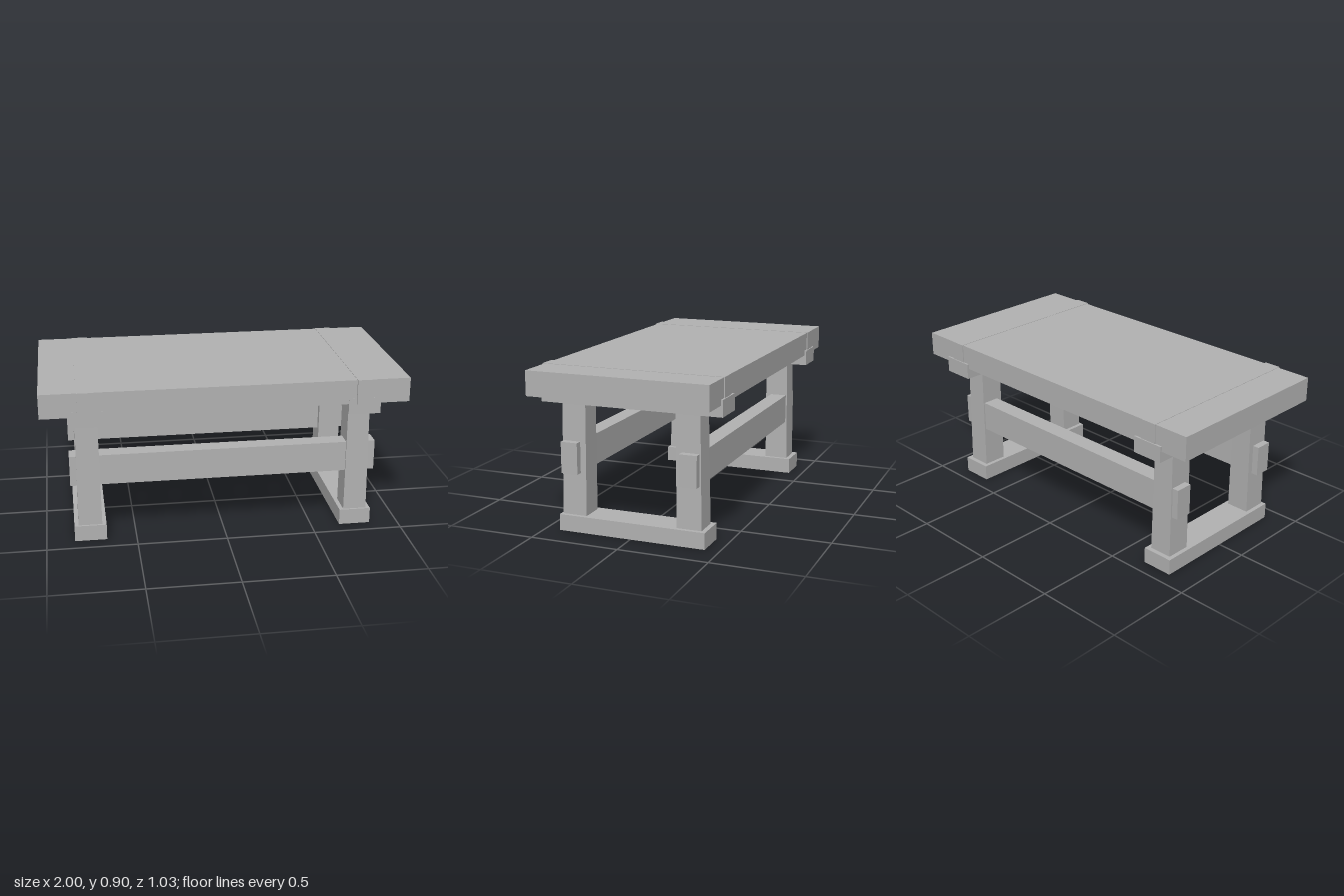
import * as THREE from 'three';

export function createModel() {
  const table = new THREE.Group();
  table.name = 'trestleTable';
  const greyWood = new THREE.MeshStandardMaterial({ color: 0xb2b2b2 });
  greyWood.name = 'grey wood';

  // Box given by its limits on each axis
  function block(name, [x0, x1], [y0, y1], [z0, z1], parent = table) {
    const geometry = new THREE.BoxGeometry(x1 - x0, y1 - y0, z1 - z0);
    const mesh = new THREE.Mesh(geometry, greyWood);
    mesh.position.set((x0 + x1) / 2, (y0 + y1) / 2, (z0 + z1) / 2);
    mesh.name = name;
    parent.add(mesh);
    return mesh;
  }

  block('tableTop', [-1, 1], [0.765, 0.9], [-0.503, 0.504]);

  // Trestle at each end: foot, two legs, crossbar and the tongue let into the top
  for (const [side, cx] of [['left', 0.751], ['right', -0.755]]) {
    const trestle = new THREE.Group();
    trestle.name = side + 'Trestle';
    table.add(trestle);
    const across = (half) => [cx - half, cx + half];

    block('foot', across(0.089), [0, 0.09], [-0.42, 0.415], trestle);
    block('crossbar', across(0.089), [0.705, 0.795], [-0.514, 0.505], trestle);
    block('tongue', across(0.046), [0.76, 0.902], [-0.508, 0.514], trestle);

    // Legs are slightly wider at the foot and lean outwards a little
    for (const [name, z, lean] of [['frontLeg', 0.331, 0.003], ['backLeg', -0.321, -0.004]]) {
      const leg = block(name, across(0.062), [0.08, 0.715], [z - 0.068, z + 0.068], trestle);
      const p = leg.geometry.attributes.position;
      for (let i = 0; i < p.count; i++) {
        const low = p.getY(i) < 0;
        p.setX(i, p.getX(i) * (low ? 1.06 : 0.98));
        p.setZ(i, p.getZ(i) * (low ? 1.02 : 0.99) + (low ? lean : -lean));
      }
      leg.geometry.computeVertexNormals();
    }
  }

  // Long stretchers pass through the legs and show as tenons outside
  block('frontStretcher', [-0.855, 0.853], [0.326, 0.498], [0.295, 0.39]);
  block('backStretcher', [-0.855, 0.853], [0.326, 0.498], [-0.381, -0.284]);

  return table;
}
